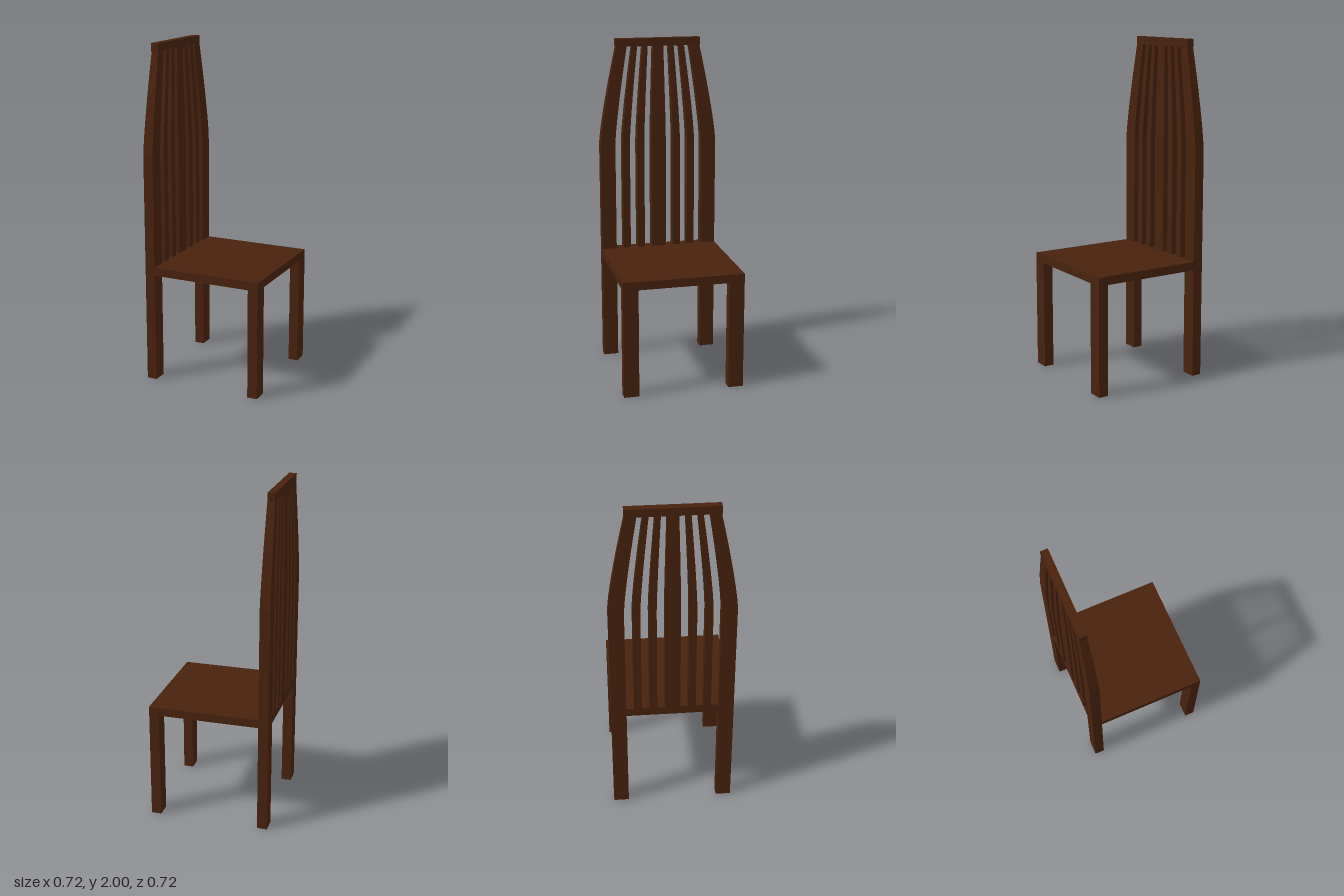
import * as THREE from 'three';

export function createModel() {
  const chair = new THREE.Group();
  chair.name = 'chair';
  const wood = new THREE.MeshStandardMaterial({ color: 0x48220e });
  wood.name = 'darkWood';

  const add = (name, geometry) => {
    const mesh = new THREE.Mesh(geometry, wood);
    mesh.name = name;
    chair.add(mesh);
  };

  // Box given by its limits on each axis
  const box = (x0, x1, y0, y1, z0, z1, segments = 1) =>
    new THREE.BoxGeometry(x1 - x0, y1 - y0, z1 - z0, 1, segments, 1)
      .translate((x0 + x1) / 2, (y0 + y1) / 2, (z0 + z1) / 2);

  const seatBottom = 0.655, seatTop = 0.705;
  const bendStart = 1.37, backTop = 1.955;
  const backX = -0.33;

  // Upper back bar: shrinks towards the middle of the backrest along a gentle curve
  const taperedBar = (z0, z1) => {
    const geometry = box(-0.36, -0.30, bendStart, backTop, z0, z1, 8);
    const p = geometry.attributes.position;
    for (let i = 0; i < p.count; i++) {
      const t = (p.getY(i) - bendStart) / (backTop - bendStart);
      const s = 1 - 0.29 * Math.pow(t, 1.25);
      p.setX(i, backX + (p.getX(i) - backX) * s);
      p.setZ(i, p.getZ(i) * s);
    }
    geometry.computeVertexNormals();
    return geometry;
  };

  const backBar = (name, z0, z1) => {
    add(name + 'Lower', box(-0.36, -0.30, seatTop, bendStart, z0, z1));
    add(name + 'Upper', taperedBar(z0, z1));
  };

  // Seat
  add('seat', box(-0.36, 0.36, seatBottom, seatTop, -0.36, 0.36));

  // Legs, back posts and thin slats in mirrored pairs
  for (const [side, m] of [['A', 1], ['B', -1]]) {
    const span = (a, b) => (m > 0 ? [a, b] : [-b, -a]);
    add('frontLeg' + side, box(0.30, 0.36, 0, seatBottom, ...span(0.27, 0.36)));
    add('backLeg' + side, box(-0.36, -0.30, 0, seatBottom, ...span(0.27, 0.36)));
    backBar('backPost' + side, ...span(0.27, 0.36));
    backBar('outerSlat' + side, ...span(0.18, 0.225));
    backBar('innerSlat' + side, ...span(0.09, 0.135));
  }

  // Wide middle slat and top rail
  backBar('middleSlat', -0.045, 0.045);
  add('topRail', box(-0.353, -0.309, 1.953, 2, -0.259, 0.259));

  return chair;
}
